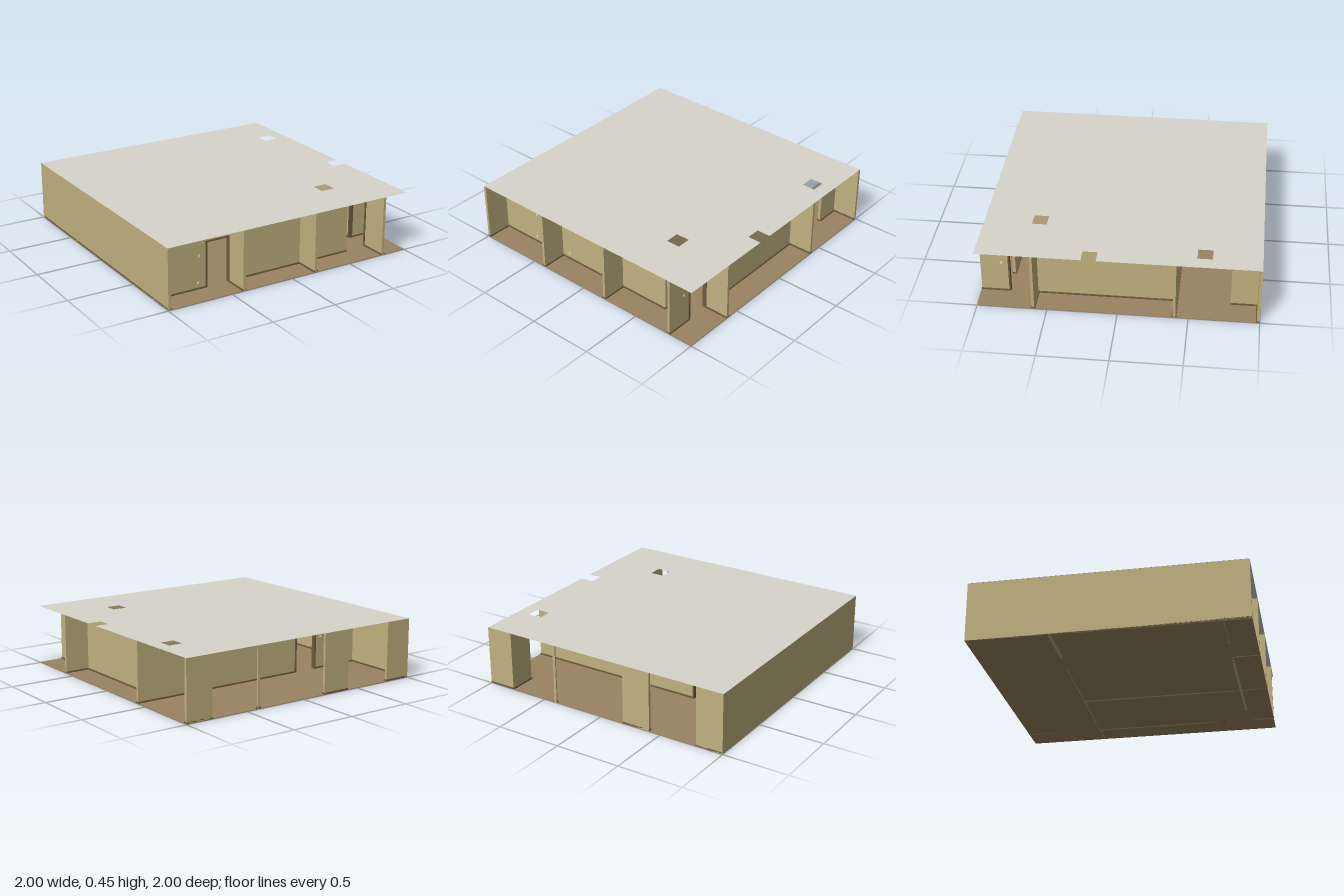
import * as THREE from 'three';

const H = 0.45;        // ceiling height
const T = 0.01;        // half wall thickness
const DOOR_H = 0.35;
const TRIM = 0.007;    // how far trim stands out from a wall

export function createModel() {
  const model = new THREE.Group();
  model.name = 'roomBlock';

  const mat = (name, hex, side = THREE.FrontSide) => {
    const m = new THREE.MeshStandardMaterial({ color: hex, side });
    m.name = name;
    return m;
  };
  const wallMat = mat('sandWall', 0xc2b280);
  const trimMat = mat('brownTrim', 0x6e5b40);
  const floorMat = mat('carpetBrown', 0x9a8461);
  const ceilingMat = mat('ceilingGrey', 0xd8d4cb, THREE.DoubleSide);
  const plateMat = mat('plateWhite', 0xeeeae0);

  // Box from its limits, kept inside the square footprint
  const clamp = (v) => Math.max(-1, Math.min(1, v));
  function box(name, material, x0, x1, y0, y1, z0, z1) {
    [x0, x1, z0, z1] = [x0, x1, z0, z1].map(clamp);
    const mesh = new THREE.Mesh(new THREE.BoxGeometry(x1 - x0, y1 - y0, z1 - z0), material);
    mesh.position.set((x0 + x1) / 2, (y0 + y1) / 2, (z0 + z1) / 2);
    mesh.name = name;
    model.add(mesh);
  }

  // Box along a wall line: axis 'x' runs along x at z = at, axis 'z' along z at x = at
  function along(name, material, axis, at, a, b, y0, y1, half) {
    if (axis === 'x') box(name, material, a, b, y0, y1, at - half, at + half);
    else box(name, material, at - half, at + half, y0, y1, a, b);
  }

  // Wall run with a skirting board on both faces
  function wall(axis, at, a, b) {
    // walls on the border lie just inside it
    const c = Math.abs(at) === 1 ? at * (1 - T) : at;
    along('wall', wallMat, axis, c, a - T, b + T, 0, H, T);
    along('skirting', trimMat, axis, c, a - T - 0.002, b + T + 0.002, 0.002, 0.015, T + TRIM);
  }

  // Door opening: lintel, two jambs and a head
  function door(axis, at, a, b) {
    along('doorLintel', wallMat, axis, at, a, b, DOOR_H, H, T);
    along('doorJamb', trimMat, axis, at, a, a + 0.012, 0, DOOR_H, T + TRIM);
    along('doorJamb', trimMat, axis, at, b - 0.012, b, 0, DOOR_H, T + TRIM);
    along('doorHead', trimMat, axis, at, a, b, DOOR_H - 0.01, DOOR_H, T + TRIM);
  }

  // Floor
  box('floor', floorMat, -1, 1, 0, 0.004, -1, 1);

  // Ceiling with square light openings; one is cut by the border
  const shape = new THREE.Shape();
  [[-1, -1], [1, -1], [1, -0.25], [0.895, -0.25], [0.895, -0.145], [1, -0.145], [1, 1], [-1, 1]]
    .forEach(([x, y], i) => (i ? shape.lineTo(x, y) : shape.moveTo(x, y)));
  for (const [x, z] of [[0.845, -0.6], [0.545, 0.6]]) {
    const hole = new THREE.Path();
    const r = 0.053;
    hole.moveTo(x - r, -z - r).lineTo(x - r, -z + r).lineTo(x + r, -z + r).lineTo(x + r, -z - r);
    hole.closePath();
    shape.holes.push(hole);
  }
  const ceiling = new THREE.Mesh(new THREE.ShapeGeometry(shape).rotateX(-Math.PI / 2), ceilingMat);
  ceiling.position.y = H + 0.001;
  ceiling.name = 'ceiling';
  model.add(ceiling);

  // Walls: [axis, fixed coordinate, from, to]
  [
    ['z', -1, -1, 1],
    ['x', -1, -1, -0.8], ['x', -1, -0.4, -0.2], ['x', -1, 0.8, 1],
    ['x', -0.4, -1, -0.6], ['x', -0.4, -0.4, 1],
    ['x', 0.8, -1, -0.6], ['x', 0.8, -0.4, 0.6],
    ['x', 0.6, 0.8, 1],
    ['z', -0.4, 0.8, 1], ['z', 0.2, 0.8, 1], ['z', 0.8, 0.8, 1],
    ['z', 0.8, -0.4, 0.6], ['z', 0.8, -1, -0.8],
    ['z', 0.2, -0.4, 0.8],
    ['z', 0.4, -1, -1],
  ].forEach((w) => wall(...w));

  // Doorways
  door('x', 0.8, -0.6, -0.4);
  door('x', -0.4, -0.6, -0.4);
  door('z', 0.8, 0.6, 0.8);

  // Light switches and sockets
  const s = 0.008;
  const frontPlate = (name, x, y, z, dir) =>
    box(name, plateMat, x - s, x + s, y - s, y + s, z + dir * T - 0.003, z + dir * T + 0.003);
  frontPlate('lightSwitch', -0.65, 0.25, 0.8, 1);
  frontPlate('socket', -0.66, 0.05, 0.8, 1);
  frontPlate('socket', -0.32, 0.05, 0.8, 1);
  frontPlate('lightSwitch', -0.65, 0.25, -0.4, -1);
  box('lightSwitch', plateMat, 0.807, 0.813, 0.25 - s, 0.25 + s, 0.85 - s, 0.85 + s);

  return model;
}
